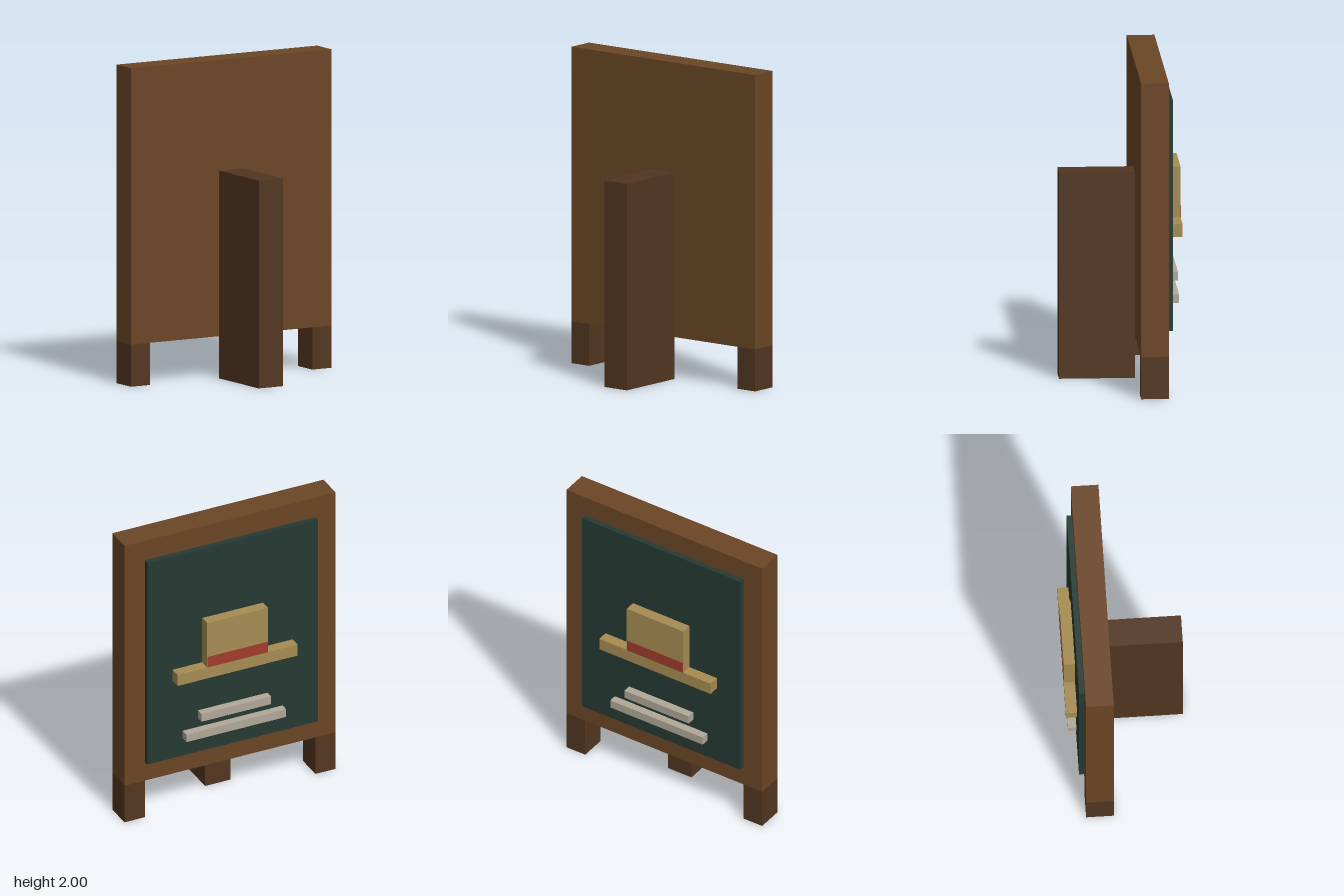
import * as THREE from 'three';

const paint = (color) => new THREE.MeshStandardMaterial({ color });

export function createModel() {
  const group = new THREE.Group();
  const wood = paint(0x6b4626);
  const darkWood = paint(0x523620);
  const slate = paint(0x263a33);
  const straw = paint(0xa68c52);
  const red = paint(0xa03c2c);
  const chalk = paint(0xb0a898);

  // Box from its extents: [min, max] along x, y and z
  const addBox = (name, material, [x0, x1], [y0, y1], [z0, z1]) => {
    const mesh = new THREE.Mesh(new THREE.BoxGeometry(x1 - x0, y1 - y0, z1 - z0), material);
    mesh.position.set((x0 + x1) / 2, (y0 + y1) / 2, (z0 + z1) / 2);
    mesh.name = name;
    group.add(mesh);
  };
  const wide = (half) => [-half, half];

  // Wooden board, its two feet and the support behind it
  addBox('board', wood, wide(0.73), [0.265, 2], [-0.27, -0.098]);
  addBox('leftFoot', darkWood, [0.59, 0.73], [0, 0.265], [-0.27, -0.098]);
  addBox('rightFoot', darkWood, [-0.73, -0.59], [0, 0.265], [-0.27, -0.098]);
  addBox('support', darkWood, wide(0.088), [0, 1.305], [-0.098, 0.373]);

  // Dark writing panel
  addBox('panel', slate, wide(0.59), [0.4, 1.86], [-0.305, -0.27]);

  // Raised hat: brim, crown, and a thin ribbon just proud of the crown
  addBox('hatBrim', straw, wide(0.415), [0.96, 1.04], [-0.375, -0.305]);
  addBox('hatCrown', straw, wide(0.21), [1.04, 1.36], [-0.375, -0.305]);
  addBox('hatRibbon', red, wide(0.208), [1.04, 1.115], [-0.377, -0.375]);

  // Two chalk strokes below the hat
  addBox('upperStroke', chalk, wide(0.24), [0.645, 0.7], [-0.357, -0.305]);
  addBox('lowerStroke', chalk, wide(0.345), [0.525, 0.58], [-0.357, -0.305]);

  return group;
}
